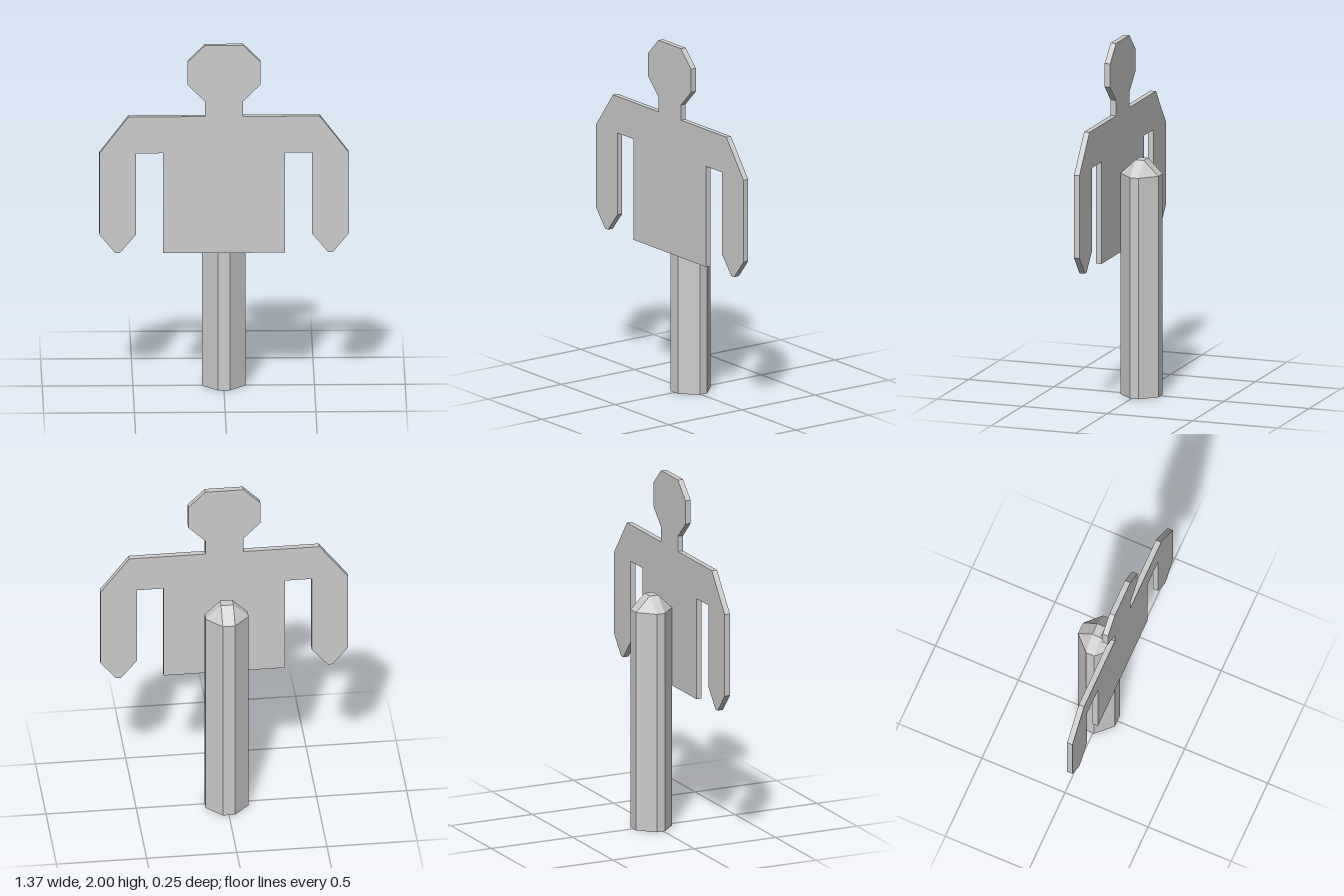
import * as THREE from 'three';
import { ConvexGeometry } from 'three/addons/geometries/ConvexGeometry.js';

const BACK = -0.127, BOARD_BACK = 0.095, BOARD_FRONT = 0.127;

// Half outline of the figure, from the top of the head down to the hem
const HALF = [
  [0.105, 2], [0.2, 1.905], [0.2, 1.772], [0.105, 1.677], [0.105, 1.59],
  [0.527, 1.59], [0.687, 1.38], [0.687, 0.912], [0.6, 0.806], [0.573, 0.806],
  [0.485, 0.912], [0.485, 1.38], [0.337, 1.38], [0.337, 0.803],
];

export function createModel() {
  const group = new THREE.Group();
  const material = new THREE.MeshStandardMaterial({ color: 0xcccccc, flatShading: true });
  const add = (name, geometry) => {
    const mesh = new THREE.Mesh(geometry, material);
    mesh.name = name;
    group.add(mesh);
    return mesh;
  };

  // Flat cut-out figure, mirrored about x = 0
  const outline = [...HALF, ...HALF.map(([x, y]) => [-x, y]).reverse()];
  const shape = new THREE.Shape(outline.map(([x, y]) => new THREE.Vector2(x, y)));
  const board = add('figureBoard', new THREE.ExtrudeGeometry(shape, {
    depth: BOARD_FRONT - BOARD_BACK, bevelEnabled: false,
  }));
  board.position.z = BOARD_BACK;

  // Eight-sided post with a chamfered top
  const points = [];
  for (const x of [-1, 1]) {
    for (const [zInner, zOuter] of [[0.008, BOARD_BACK], [-0.041, BACK]]) {
      for (const y of [0, 1.25]) {
        points.push(new THREE.Vector3(x * 0.119, y, zInner));
        points.push(new THREE.Vector3(x * 0.034, y, zOuter));
      }
      points.push(new THREE.Vector3(x * 0.034, 1.333, zInner));
    }
  }
  add('post', new ConvexGeometry(points));

  return group;
}
